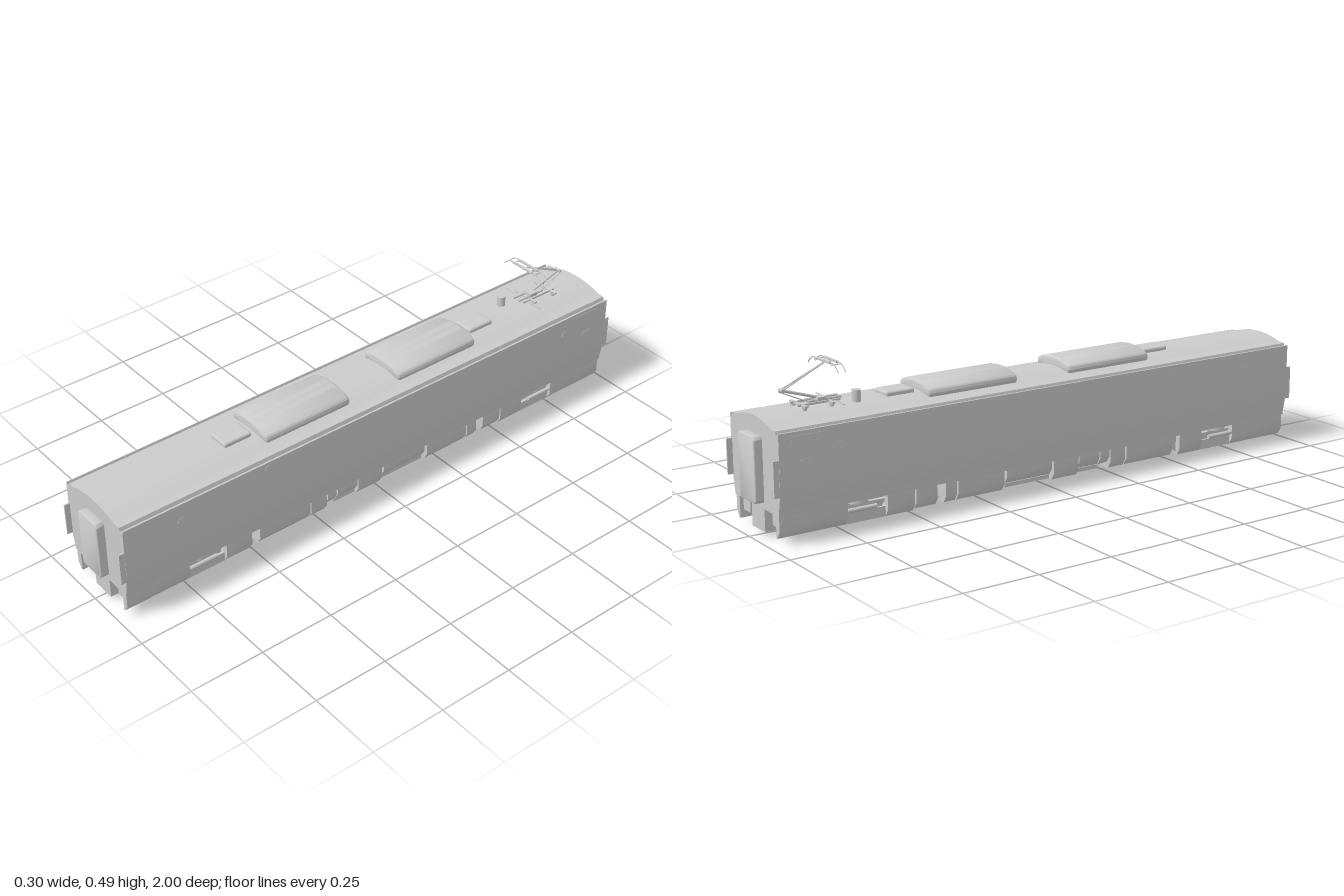
import * as THREE from 'three';
import { toCreasedNormals } from 'three/addons/utils/BufferGeometryUtils.js';
import { RoundedBoxGeometry } from 'three/addons/geometries/RoundedBoxGeometry.js';

const grey = new THREE.MeshStandardMaterial({ color: 0xcccccc, side: THREE.DoubleSide });

function add(parent, name, geo, x = 0, y = 0, z = 0) {
  const m = new THREE.Mesh(geo, grey);
  m.name = name;
  m.position.set(x, y, z);
  parent.add(m);
  return m;
}

// Box given by its limits on each axis
function box(parent, name, x0, x1, y0, y1, z0, z1) {
  return add(parent, name,
    new THREE.BoxGeometry(Math.abs(x1 - x0), Math.abs(y1 - y0), Math.abs(z1 - z0)),
    (x0 + x1) / 2, (y0 + y1) / 2, (z0 + z1) / 2);
}

// Cross-section in x, y drawn out along z; bevel rounds the ends inwards
function prism(parent, name, shape, z0, z1, bevel = 0) {
  const geo = new THREE.ExtrudeGeometry(shape, {
    depth: z1 - z0 - 2 * bevel, curveSegments: 16, bevelEnabled: bevel > 0,
    bevelThickness: bevel, bevelSize: bevel, bevelOffset: -bevel, bevelSegments: 4,
  });
  return add(parent, name, toCreasedNormals(geo, 0.6), 0, 0, z0 + bevel);
}

const poly = (pts) => new THREE.Shape(pts.map(([x, y]) => new THREE.Vector2(x, y)));

function rod(parent, name, a, b, r, sides = 10) {
  const p = new THREE.Vector3(...a), q = new THREE.Vector3(...b);
  const m = add(parent, name, new THREE.CylinderGeometry(r, r, p.distanceTo(q), sides));
  m.position.copy(p).add(q).multiplyScalar(0.5);
  m.quaternion.setFromUnitVectors(new THREE.Vector3(0, 1, 0), q.sub(p).normalize());
  return m;
}

function roundedRect(w, h, r) {
  const s = new THREE.Shape();
  s.absarc(w / 2 - r, h / 2 - r, r, 0, Math.PI / 2);
  s.absarc(-w / 2 + r, h / 2 - r, r, Math.PI / 2, Math.PI);
  s.absarc(-w / 2 + r, -h / 2 + r, r, Math.PI, Math.PI * 1.5);
  s.absarc(w / 2 - r, -h / 2 + r, r, Math.PI * 1.5, Math.PI * 2);
  return s;
}

function buildBody(g) {
  // Right half of the section: tapered skirt, upright wall, gutter, arched roof
  const half = [[0.137, 0.09], [0.142, 0.12], [0.147, 0.145], [0.15, 0.17], [0.15, 0.337],
    [0.147, 0.338], [0.144, 0.329], [0.136, 0.33], [0.132, 0.342], [0.105, 0.344]];
  for (let i = 1; i < 8; i++) {
    const x = 0.105 * (1 - i / 8);
    half.push([x, 0.362 - 0.018 * (x / 0.105) ** 2]);
  }
  const mirrored = half.map(([x, y]) => [-x, y]).reverse();
  prism(g, 'carBody', poly([...half, [0, 0.362], ...mirrored]), -0.972, 0.972);

  for (const e of [-1, 1]) {
    // Gangway door housing and corner fairings
    const z0 = e > 0 ? 0.97 : -1;
    const door = prism(g, 'gangway', roundedRect(0.1, 0.202, 0.013), z0, z0 + 0.03, 0.004);
    door.position.y = 0.209;
    for (const s of [-1, 1]) {
      box(g, 'cornerFairing', s * 0.144, s * 0.149, 0.15, 0.26, e * 0.97, e * 0.99);
    }
  }
  // Small plates on the side walls: z, y, length, height
  for (const [z, y, l, h] of [[-0.88, 0.317, 0.1, 0.015], [-0.88, 0.247, 0.04, 0.01],
    [-0.775, 0.28, 0.016, 0.016], [0.775, 0.28, 0.016, 0.016], [0.46, 0.318, 0.014, 0.014]]) {
    for (const s of [-1, 1]) {
      box(g, 'sidePlate', s * 0.149, s * 0.151, y - h / 2, y + h / 2, z - l / 2, z + l / 2);
    }
  }
}

function buildRoof(g) {
  // Air-conditioning housing with rounded shoulders and a crowned top
  const s = new THREE.Shape();
  s.moveTo(-0.078, 0.346);
  s.lineTo(0.078, 0.346);
  s.bezierCurveTo(0.09, 0.347, 0.091, 0.371, 0.08, 0.376);
  s.bezierCurveTo(0.04, 0.396, -0.04, 0.396, -0.08, 0.376);
  s.bezierCurveTo(-0.091, 0.371, -0.09, 0.347, -0.078, 0.346);
  prism(g, 'airConditioner', s, 0.09, 0.415, 0.011);
  prism(g, 'airConditioner', s, -0.43, -0.105, 0.011);
  for (const z of [0.483, -0.5]) {
    add(g, 'roofVent', new RoundedBoxGeometry(0.074, 0.03, 0.1, 3, 0.007), 0, 0.359, z);
  }
  rod(g, 'roofCanister', [-0.028, 0.35, -0.648], [-0.028, 0.396, -0.648], 0.014, 20);
}

function buildPantograph(g) {
  const p = new THREE.Group();
  p.name = 'pantograph';
  g.add(p);
  // Base frame on insulators
  for (const s of [-1, 1]) {
    box(p, 'baseRail', s * 0.02, s * 0.026, 0.37, 0.376, -0.84, -0.7);
    for (const z of [-0.825, -0.735]) {
      rod(p, 'insulator', [s * 0.035, 0.35, z], [s * 0.035, 0.375, z], 0.007);
    }
    rod(p, 'spring', [s * 0.012, 0.378, -0.8], [s * 0.012, 0.378, -0.69], 0.004);
  }
  for (const z of [-0.825, -0.735]) box(p, 'baseCrossbar', -0.05, 0.05, 0.369, 0.375, z - 0.005, z + 0.005);
  box(p, 'baseCrossbar', -0.085, 0.085, 0.371, 0.374, -0.722, -0.718);
  box(p, 'hingeBlock', -0.018, 0.018, 0.368, 0.386, -0.77, -0.74);
  // Folded single arm
  const knee = [0, 0.42, -0.88];
  rod(p, 'lowerArm', [0, 0.38, -0.752], knee, 0.0045);
  rod(p, 'controlRod', [0.008, 0.372, -0.79], [0.008, 0.415, -0.885], 0.0018);
  rod(p, 'kneeJoint', [-0.012, 0.42, -0.88], [0.012, 0.42, -0.88], 0.005);
  for (const s of [-1, 1]) rod(p, 'upperArm', [s * 0.006, 0.42, -0.88], [s * 0.002, 0.486, -0.735], 0.002);
  // Collector head with down-curved horns
  for (const z of [-0.74, -0.716]) {
    const path = new THREE.CatmullRomCurve3([[-0.09, 0.47], [-0.075, 0.484], [-0.058, 0.491],
      [0, 0.491], [0.058, 0.491], [0.075, 0.484], [0.09, 0.47]].map(([x, y]) => new THREE.Vector3(x, y, z)));
    add(p, 'collectorHorn', new THREE.TubeGeometry(path, 36, 0.0018, 6));
    box(p, 'contactStrip', -0.042, 0.042, 0.488, 0.494, z - 0.004, z + 0.004);
  }
  for (const x of [-0.05, 0, 0.05]) rod(p, 'headLink', [x, 0.486, -0.742], [x, 0.486, -0.714], 0.002, 6);
}

function buildBogie(g, zc) {
  const b = new THREE.Group();
  b.name = 'bogie';
  b.position.z = zc;
  g.add(b);
  for (const dz of [-0.105, 0.105]) {
    rod(b, 'axle', [-0.105, 0.045, dz], [0.105, 0.045, dz], 0.009, 16);
    for (const s of [-1, 1]) {
      rod(b, 'wheel', [s * 0.053, 0.045, dz], [s * 0.061, 0.045, dz], 0.045, 32);
      rod(b, 'axleBox', [s * 0.095, 0.045, dz], [s * 0.117, 0.045, dz], 0.02, 20);
    }
  }
  box(b, 'bolster', -0.1, 0.1, 0.06, 0.078, -0.03, 0.03);
  for (const s of [-1, 1]) {
    box(b, 'sideFrame', s * 0.088, s * 0.102, 0.045, 0.07, -0.15, 0.15);
    rod(b, 'airSpring', [s * 0.1, 0.077, 0], [s * 0.1, 0.09, 0], 0.034, 24);
    rod(b, 'damper', [s * 0.128, 0.062, -0.05], [s * 0.128, 0.062, 0.05], 0.007, 12);
  }
}

// Equipment case hung on one side, with its lower outer edge chamfered
function sideCase(g, name, s, inner, bottom, z0, z1) {
  prism(g, name, poly([[s * inner, 0.092], [s * inner, bottom], [s * 0.12, bottom],
    [s * 0.134, bottom + 0.022], [s * 0.134, 0.092]]), z0, z1);
}

function buildUnderframe(g) {
  for (const e of [-1, 1]) {
    box(g, 'couplerBox', -0.04, 0.04, 0.017, 0.092, e * 0.91, e * 0.968);
    buildBogie(g, e * 0.695);
    for (const s of [-1, 1]) {
      // Bogie skirt: full-depth ends and a lower strip below the air spring
      const span = (a, c) => (e > 0 ? [a, c] : [-c, -a]);
      sideCase(g, 'bogieSkirt', s, 0.114, 0.02, ...span(0.745, 0.97));
      sideCase(g, 'bogieSkirt', s, 0.114, 0.02, ...span(0.515, 0.61));
      box(g, 'lowerSkirt', s * 0.114, s * 0.121, 0.02, 0.052, e * 0.61, e * 0.745);
      box(g, 'stepBox', s * 0.07, s * 0.115, 0.045, 0.092, e * 0.91, e * 0.958);
    }
  }
  // Equipment between the bogies: inner edge, bottom, z range
  const cases = [[0.05, 0.025, 0.29, 0.485], [0.08, 0.025, 0.225, 0.285], [0.1, 0.045, 0.185, 0.22],
    [0.06, 0.045, 0.1, 0.18], [0.09, 0.025, 0, 0.097], [0.05, 0.045, -0.18, -0.008],
    [0.05, 0.025, -0.36, -0.19], [0.09, 0.025, -0.405, -0.365], [0.06, 0.025, -0.51, -0.435]];
  for (const s of [-1, 1]) {
    for (const [inner, bottom, z0, z1] of cases) sideCase(g, 'equipmentCase', s, inner, bottom, z0, z1);
    for (const [z0, z1] of [[0.1, 0.185], [-0.18, -0.008]]) {
      box(g, 'lowerTray', s * 0.05, s * 0.118, 0.03, 0.043, z0, z1);
    }
  }
}

export function createModel() {
  const g = new THREE.Group();
  g.name = 'railCar';
  buildBody(g);
  buildRoof(g);
  buildPantograph(g);
  buildUnderframe(g);
  return g;
}
